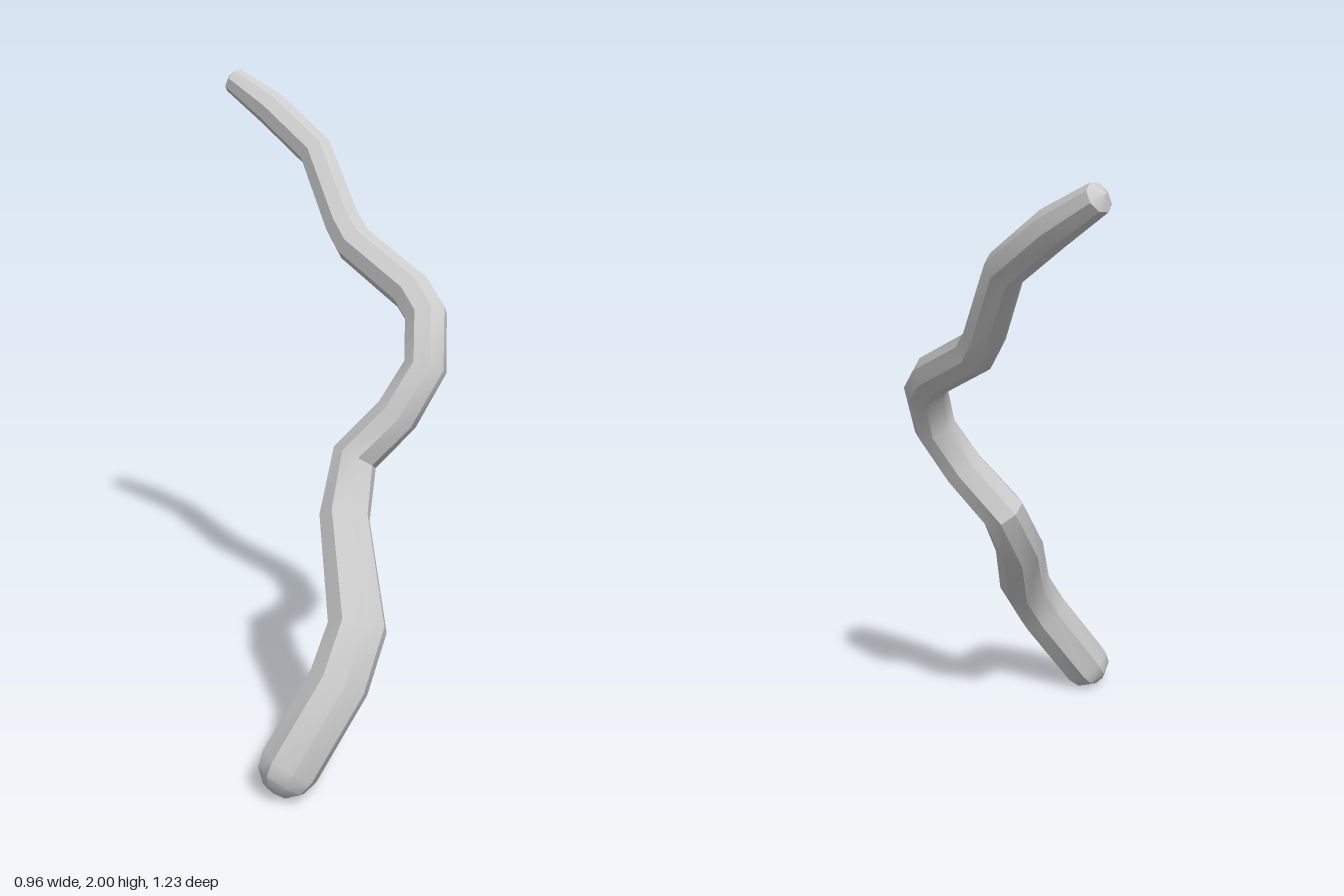
import * as THREE from 'three';
import { toCreasedNormals } from 'three/addons/utils/BufferGeometryUtils.js';

const SIDES = 8;

// Centre line of the stick from the base to the tip: x, y, z, radius
const SPINE = [
  [-0.395, 0.09, 0.485, 0.092],
  [-0.24, 0.32, 0.53, 0.092],
  [-0.15, 0.46, 0.515, 0.09],
  [0.02, 0.70, 0.295, 0.08],
  [0.12, 0.86, 0.24, 0.074],
  [0.205, 1.0, 0.335, 0.07],
  [0.285, 1.145, 0.375, 0.068],
  [0.345, 1.29, 0.32, 0.068],
  [0.362, 1.35, 0.245, 0.066],
  [0.368, 1.47, -0.01, 0.064],
  [0.38, 1.53, -0.075, 0.062],
  [0.415, 1.745, -0.235, 0.059],
  [0.40, 1.875, -0.435, 0.057],
  [0.365, 1.965, -0.585, 0.043],
];

// Sweeps a polygon along the rings, closing both ends with a fan
function sweep(rings, startTip, endTip) {
  const pos = [], index = [];
  const side = new THREE.Vector3(1, 0, 0), up = new THREE.Vector3();
  for (const { p, t, r } of rings) {
    side.addScaledVector(t, -side.dot(t)).normalize(); // carry the frame without twist
    up.crossVectors(t, side);
    for (let j = 0; j < SIDES; j++) {
      const a = (j / SIDES) * Math.PI * 2;
      const v = p.clone().addScaledVector(side, r * Math.cos(a)).addScaledVector(up, r * Math.sin(a));
      pos.push(v.x, v.y, v.z);
    }
  }
  const first = rings.length * SIDES, last = (rings.length - 1) * SIDES;
  pos.push(...startTip.toArray(), ...endTip.toArray());
  for (let j = 0; j < SIDES; j++) {
    const k = (j + 1) % SIDES;
    for (let i = 0; i < last; i += SIDES) {
      index.push(i + j, i + k, i + SIDES + k, i + j, i + SIDES + k, i + SIDES + j);
    }
    index.push(first, k, j, first + 1, last + j, last + k);
  }
  const geometry = new THREE.BufferGeometry();
  geometry.setAttribute('position', new THREE.Float32BufferAttribute(pos, 3));
  geometry.setIndex(index);
  return toCreasedNormals(geometry, THREE.MathUtils.degToRad(35));
}

export function createModel() {
  const group = new THREE.Group();
  group.name = 'crookedStick';

  // Body rings, each square to the local direction of the stick
  const points = SPINE.map(([x, y, z]) => new THREE.Vector3(x, y, z));
  const n = points.length;
  const body = points.map((p, i) => {
    const before = p.clone().sub(points[Math.max(i - 1, 0)]).normalize();
    const after = points[Math.min(i + 1, n - 1)].clone().sub(p).normalize();
    return { p, t: before.add(after).normalize(), r: SPINE[i][3] };
  });

  // Rounded base
  const base = body[0];
  const dome = [0.3, 0.65].map((f) => {
    const a = f * Math.PI / 2;
    return {
      p: base.p.clone().addScaledVector(base.t, -base.r * Math.cos(a)),
      t: base.t,
      r: base.r * Math.sin(a),
    };
  });
  const startTip = base.p.clone().addScaledVector(base.t, -base.r);

  // Blunt tip
  const top = body[n - 1];
  const endTip = top.p.clone().addScaledVector(top.t, 0.025);

  const stick = new THREE.Mesh(
    sweep([...dome, ...body], startTip, endTip),
    new THREE.MeshStandardMaterial({ color: 0xcccccc })
  );
  stick.name = 'stick';
  group.add(stick);
  return group;
}
